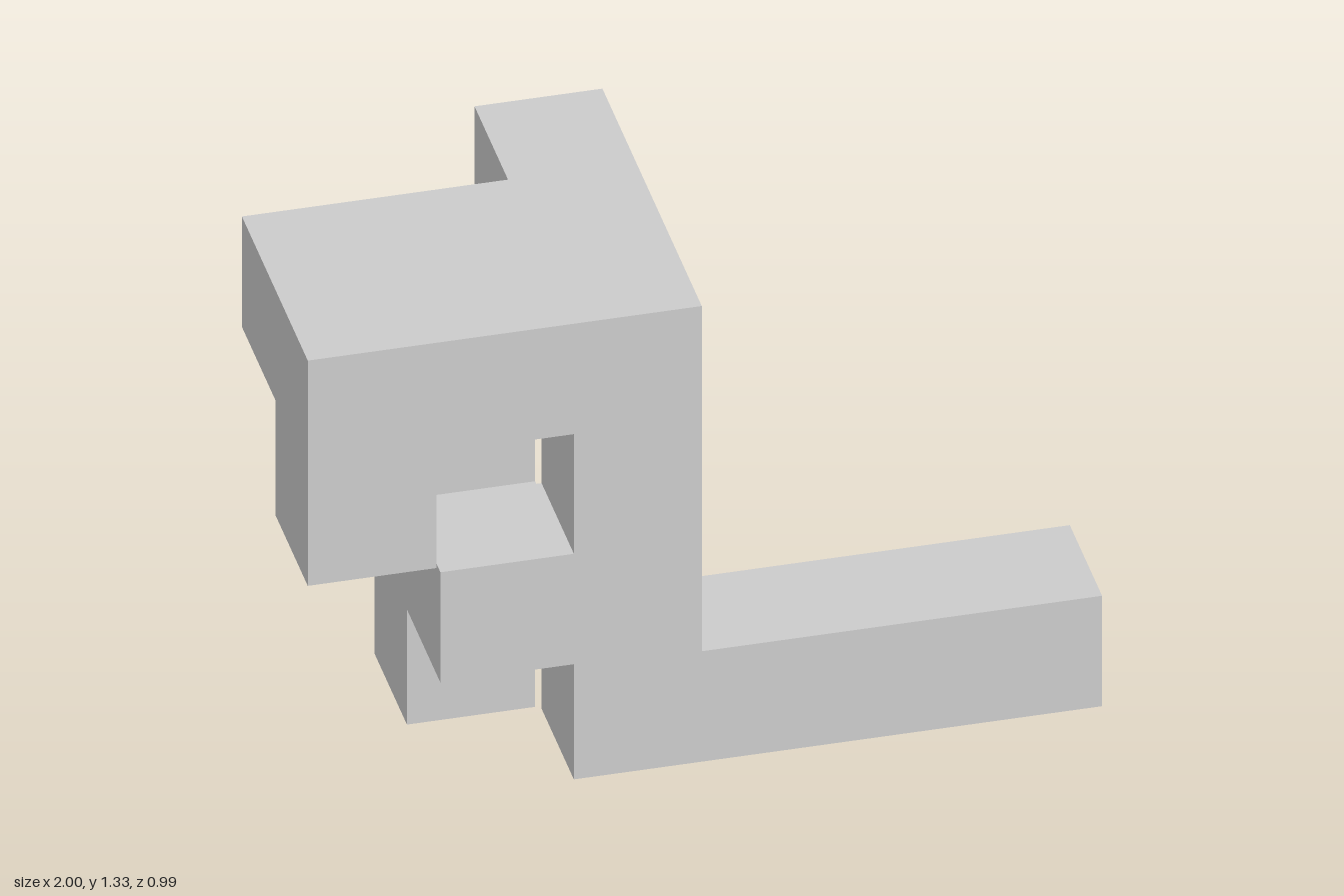
import * as THREE from 'three';

const material = new THREE.MeshStandardMaterial({ color: 0xcccccc, flatShading: true });

// Extrudes a straight-edged outline to the given depth
function slab(name, points, depth) {
  const shape = new THREE.Shape(points.map(([x, y]) => new THREE.Vector2(x, y)));
  const mesh = new THREE.Mesh(new THREE.ExtrudeGeometry(shape, { depth, bevelEnabled: false }), material);
  mesh.name = name;
  return mesh;
}

// Box given by its lower and upper corners
function block(name, [x0, y0, z0], [x1, y1, z1]) {
  const mesh = new THREE.Mesh(new THREE.BoxGeometry(x1 - x0, y1 - y0, z1 - z0), material);
  mesh.position.set((x0 + x1) / 2, (y0 + y1) / 2, (z0 + z1) / 2);
  mesh.name = name;
  return mesh;
}

export function createModel() {
  const group = new THREE.Group();
  group.name = 'burrPuzzlePiece';

  // Front layer: post with long foot, side peg and hanging hook
  const front = slab('frontFrame', [
    [-0.33, 0], [1, 0], [1, 0.323], [-0.008, 0.323], [-0.008, 1.333], [-1, 1.333],
    [-1, 0.674], [-0.676, 0.674], [-0.676, 1.01], [-0.33, 1.01], [-0.33, 0.66],
    [-0.666, 0.66], [-0.666, 0.337], [-0.33, 0.337],
  ], 0.323);
  front.position.z = 0.174;
  group.add(front);

  // Top layer behind the frame, with the tail reaching back (outline in x, -z)
  const canopy = slab('topCanopy', [
    [-1, -0.174], [-0.008, -0.174], [-0.008, 0.497], [-0.33, 0.497], [-0.33, 0.162], [-1, 0.162],
  ], 0.323);
  canopy.rotation.x = -Math.PI / 2;
  canopy.position.y = 1.01;
  group.add(canopy);

  // Rear column and the short bridge joining it to the side peg
  group.add(block('rearColumn', [-0.666, 0, -0.162], [-0.343, 1.01, 0.162]));
  group.add(block('pegBridge', [-0.666, 0.337, 0.162], [-0.343, 0.66, 0.174]));

  return group;
}
